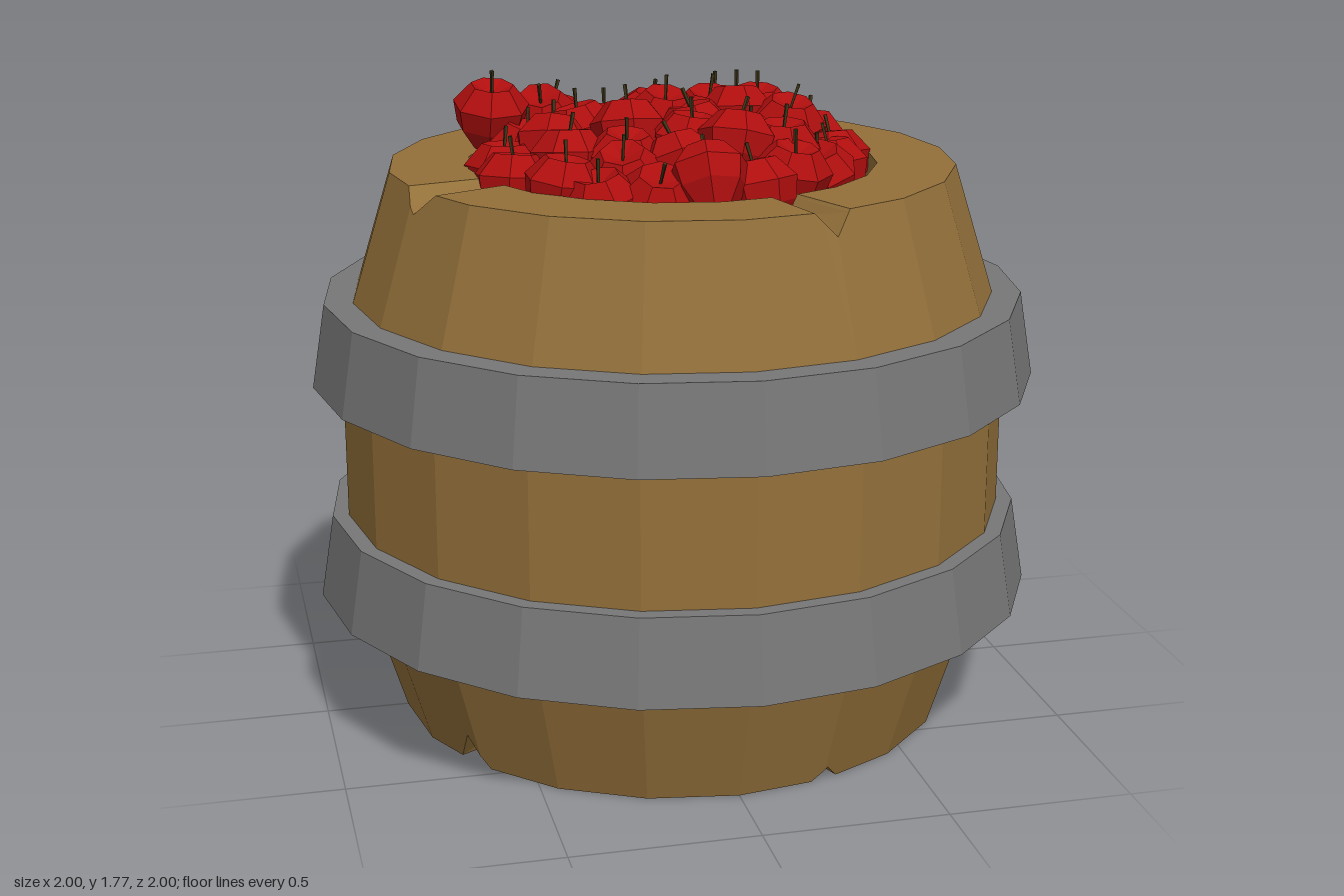
import * as THREE from 'three';

const SIDES = 20;
const STEP = (Math.PI * 2) / SIDES;
const rad = (d) => ((((d % 360) + 360) % 360) * Math.PI) / 180;

const wood = new THREE.MeshStandardMaterial({ color: 0x93703a });
const iron = new THREE.MeshStandardMaterial({ color: 0x777777 });
const appleRed = new THREE.MeshStandardMaterial({ color: 0xb00e0e });
const stemBrown = new THREE.MeshStandardMaterial({ color: 0x3c3418 });
wood.name = 'wood';
iron.name = 'iron';
appleRed.name = 'appleRed';
stemBrown.name = 'stemBrown';
for (const m of [wood, iron, appleRed, stemBrown]) m.flatShading = true;

// V-shaped chips in the rims: angle from the front, half width (degrees), depth
const topChips = [[18, 4, 0.06], [163.5, 4, 0.05], [-70.5, 5.5, 0.06]];
const bottomChips = [[18.5, 3, 0.04], [108.7, 4, 0.08], [-119.5, 13, 0.115], [-56.7, 4.5, 0.09]];

function chipDepth(chips, a) {
  let depth = 0;
  for (const [mid, half, d] of chips) {
    let off = Math.abs(a - rad(mid));
    off = Math.min(off, Math.PI * 2 - off);
    depth = Math.max(depth, d * (1 - off / rad(half)));
  }
  return depth;
}

// Turned barrel shell with extra columns where the rims are chipped
function barrelGeometry() {
  const angles = [];
  for (let i = 0; i < SIDES; i++) angles.push(i * STEP);
  for (const [mid, half] of [...topChips, ...bottomChips]) {
    angles.push(rad(mid - half), rad(mid), rad(mid + half));
  }
  angles.sort((a, b) => a - b);

  const profile = (a) => {
    const b = chipDepth(bottomChips, a);
    const t = chipDepth(topChips, a);
    const slope = 0.11 / 0.355;
    return [
      [0, 0.12], [0.56, 0.12], [0.56, b], [0.773 + b * slope, b],
      [0.883, 0.355], [0.918, 0.58], [0.918, 0.96], [0.883, 1.187],
      [0.773 + t * slope, 1.54 - t], [0.56, 1.54 - t], [0.56, 1.41], [0, 1.41],
    ];
  };

  const pos = [];
  const index = [];
  const rows = profile(0).length;
  angles.forEach((a, i) => {
    // keep the extra columns on the flat sides of the polygon
    const local = a - (Math.floor(a / STEP + 1e-6) + 0.5) * STEP;
    const k = Math.cos(STEP / 2) / Math.cos(local);
    for (const [r, y] of profile(a)) pos.push(Math.sin(a) * r * k, y, Math.cos(a) * r * k);
    const next = (i + 1) % angles.length;
    for (let j = 0; j < rows - 1; j++) {
      const p = i * rows + j;
      const q = next * rows + j;
      if (j > 0) index.push(p, q, p + 1);
      if (j < rows - 2) index.push(q, q + 1, p + 1);
    }
  });
  const g = new THREE.BufferGeometry();
  g.setAttribute('position', new THREE.Float32BufferAttribute(pos, 3));
  g.setIndex(index);
  const flat = g.toNonIndexed();
  flat.computeVertexNormals();
  return flat;
}

function lathe(points, sides) {
  const g = new THREE.LatheGeometry(points.map(([x, y]) => new THREE.Vector2(x, y)), sides).toNonIndexed();
  g.computeVertexNormals();
  return g;
}

function addMesh(parent, name, geometry, material) {
  const mesh = new THREE.Mesh(geometry, material);
  mesh.name = name;
  parent.add(mesh);
  return mesh;
}

// Apple centres: x, z, y
const apples = [
  [-0.25, -0.47, 1.56], [-0.09, -0.46, 1.53], [0.08, -0.48, 1.53], [0.25, -0.51, 1.56],
  [0.34, -0.37, 1.58], [-0.30, -0.34, 1.60], [0.00, -0.33, 1.58], [0.18, -0.31, 1.59],
  [-0.46, -0.24, 1.64], [-0.21, -0.19, 1.58], [-0.38, -0.15, 1.54], [0.45, -0.21, 1.53],
  [0.02, -0.20, 1.61], [0.22, -0.14, 1.62], [-0.11, -0.04, 1.61], [0.09, -0.08, 1.59],
  [0.34, -0.05, 1.60], [-0.32, -0.07, 1.57], [-0.46, -0.03, 1.51], [0.46, 0.00, 1.51],
  [-0.46, 0.12, 1.51], [-0.30, 0.08, 1.56], [-0.16, 0.13, 1.56], [0.03, 0.08, 1.59],
  [0.19, 0.06, 1.57], [0.42, 0.11, 1.51], [-0.36, 0.30, 1.53], [-0.18, 0.23, 1.54],
  [-0.02, 0.21, 1.56], [0.13, 0.20, 1.61], [0.26, 0.19, 1.58], [0.36, 0.20, 1.51],
  [-0.27, 0.38, 1.50], [-0.13, 0.40, 1.51], [0.00, 0.43, 1.57], [0.14, 0.39, 1.52],
  [0.25, 0.31, 1.54],
];

export function createModel() {
  const model = new THREE.Group();
  model.name = 'appleBarrel';

  addMesh(model, 'barrel', barrelGeometry(), wood);

  // Flared iron hoops
  const hoop = lathe([[0.86, 0], [1, 0], [0.962, 0.23], [0.86, 0.23], [0.86, 0]], SIDES);
  [['lowerHoop', 0.355], ['upperHoop', 0.957]].forEach(([name, y]) => {
    addMesh(model, name, hoop, iron).position.y = y;
  });

  // Red layer beneath the pile
  const fill = addMesh(model, 'appleLayer', new THREE.CircleGeometry(0.553, SIDES), appleRed);
  fill.rotation.x = -Math.PI / 2;
  fill.position.y = 1.43;

  // Heap of faceted apples with stems
  const body = lathe([[0, -0.07], [0.05, -0.09], [0.095, -0.03], [0.108, 0.03], [0.06, 0.088], [0, 0.06]], 7);
  const stem = new THREE.CylinderGeometry(0.006, 0.004, 0.08, 4);
  let seed = 7;
  const random = () => (seed = (seed * 16807) % 2147483647) / 2147483647;
  const heap = new THREE.Group();
  heap.name = 'appleHeap';
  model.add(heap);
  for (const [x, z, y] of apples) {
    const apple = new THREE.Group();
    apple.name = 'apple';
    addMesh(apple, 'appleBody', body, appleRed);
    const stalk = addMesh(apple, 'appleStem', stem, stemBrown);
    stalk.position.set(0.006, 0.095, 0);
    stalk.rotation.z = -0.2;
    apple.position.set(x, y, z);
    apple.rotation.set((random() - 0.5) * 0.7, random() * 6.28, (random() - 0.5) * 0.7);
    heap.add(apple);
  }
  return model;
}
